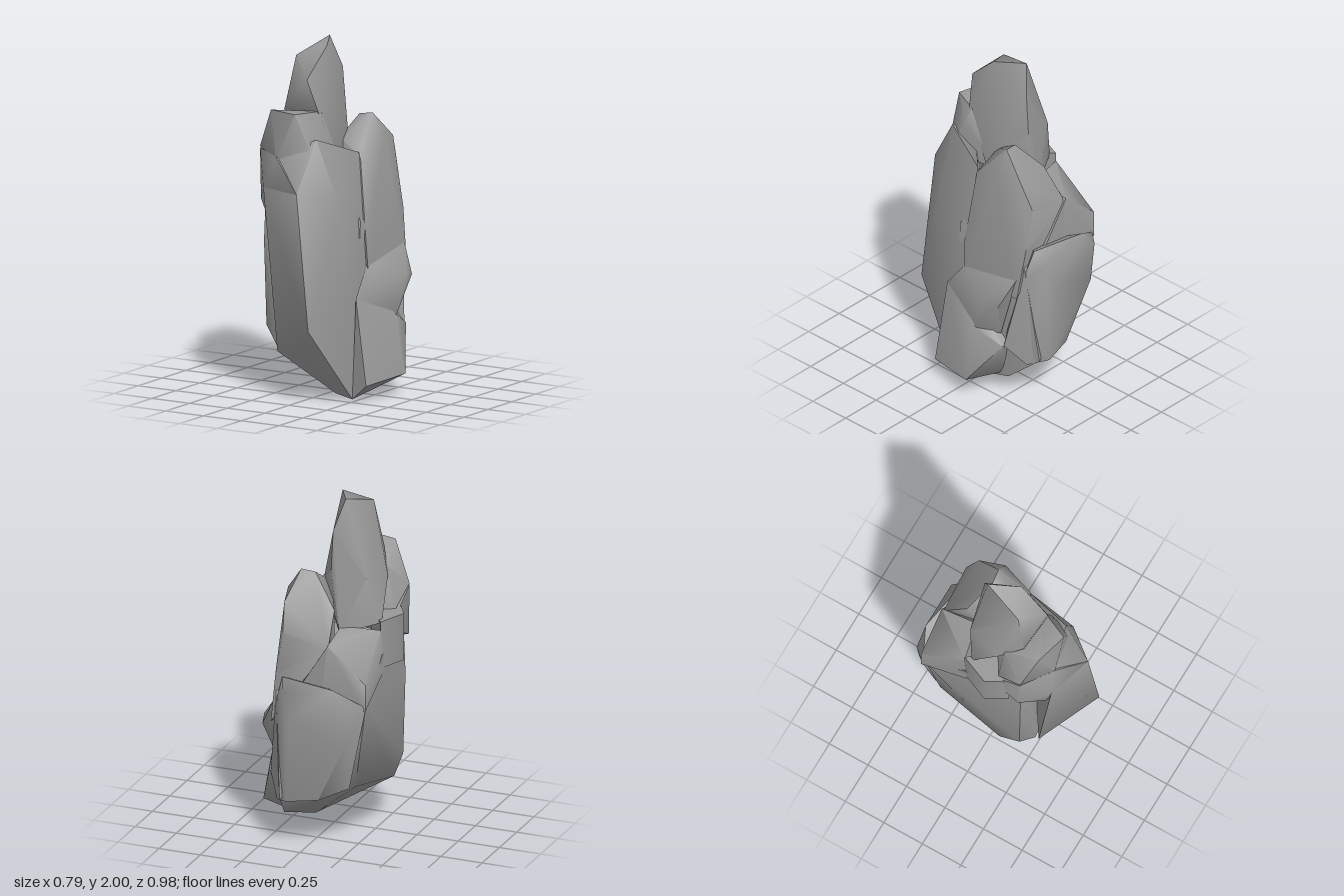
import * as THREE from 'three';
import { ConvexGeometry } from 'three/addons/geometries/ConvexGeometry.js';
import { toCreasedNormals } from 'three/addons/utils/BufferGeometryUtils.js';

// Corner points of each overlapping rock chunk
const chunks = {
  frontBlock: [
    [-0.21, 0.25, 0.29], [0, 0.28, 0.38], [0.12, 0.43, 0.49], [0.21, 0, 0.17], [0.12, 0.03, 0.2],
    [-0.22, 0.95, 0.36], [-0.24, 1.2, 0.39], [0.03, 1.2, 0.47], [0.08, 0.77, 0.46],
    [-0.17, 1.38, 0.36], [0.08, 1.32, 0.34], [0.06, 1.49, 0.31], [0.16, 1.38, 0.02],
    [0.19, 1.13, 0.28], [0.23, 0.6, 0.22], [0.22, 0.9, 0.06], [0.23, 0.6, 0],
  ],
  upperFront: [
    [-0.35, 1.39, 0.25], [-0.35, 1.1, 0.24], [-0.24, 1.05, 0.36], [-0.24, 1.2, 0.39],
    [-0.17, 1.38, 0.37], [0.03, 1.2, 0.47], [0, 1.38, 0.1], [-0.1, 1, 0.3], [-0.33, 1.2, 0],
  ],
  shoulderSlab: [
    [-0.24, 1.63, 0.31], [-0.05, 1.63, 0.36], [0.02, 1.63, 0.2], [0.06, 1.53, 0.22],
    [0.08, 1.32, 0.33], [-0.17, 1.36, 0.37], [-0.35, 1.4, 0.25], [-0.33, 1.3, 0.1],
    [-0.27, 1.55, 0.1], [0, 1.3, -0.1],
  ],
  spire: [
    [-0.11, 2, -0.1], [-0.02, 1.98, 0.07], [-0.18, 1.92, 0.14], [-0.04, 1.81, 0.25],
    [-0.055, 1.82, -0.15], [0.02, 1.62, 0.22], [-0.22, 1.62, 0.2], [-0.29, 1.5, 0.08],
    [-0.25, 1.55, -0.13], [0.04, 1.5, -0.05], [-0.05, 1.58, -0.17], [-0.11, 1.22, -0.19],
    [-0.32, 1.28, -0.08], [0.05, 1.3, 0.05],
  ],
  core: [
    [0.12, 0.03, 0.02], [0.21, 0, 0.17], [0.2, 0.12, -0.25], [0.15, 0.28, -0.44],
    [-0.26, 0.37, -0.32], [-0.32, 0.29, 0.1], [-0.32, 0.38, 0.23], [-0.21, 0.25, 0.27],
    [-0.33, 0.86, 0.24], [-0.34, 0.88, -0.36], [0.2, 0.9, -0.37], [0.22, 1, 0.1],
    [-0.32, 1.1, 0.24], [-0.34, 1.1, -0.12], [0.1, 1.2, 0], [0.23, 0.6, -0.3],
  ],
  backSlab: [
    [-0.28, 0.87, -0.46], [-0.18, 0.99, -0.46], [0.12, 0.93, -0.47], [0.07, 0.78, -0.49],
    [-0.35, 0.88, -0.38], [-0.24, 0.37, -0.36], [-0.25, 0.65, -0.46], [-0.08, 0.3, -0.43],
    [0.1, 0.28, -0.47], [0.21, 0.8, -0.36], [0.15, 1, -0.4], [0.27, 0.37, -0.28],
    [0.19, 0.25, -0.38], [0, 0.9, -0.2], [-0.1, 0.4, -0.2],
  ],
  backLeftShard: [
    [-0.12, 1.22, -0.39], [-0.35, 0.86, -0.39], [-0.35, 1.02, -0.39], [-0.11, 1.26, -0.17],
    [-0.33, 1.25, -0.12], [-0.34, 1, -0.1], [-0.08, 0.9, -0.39], [0.05, 0.95, -0.38], [0, 1, -0.1],
  ],
  backRightShard: [
    [0.05, 1.56, -0.16], [0.13, 1.57, -0.17], [0.21, 1.45, -0.17], [0.17, 1.42, -0.32],
    [0.15, 1.26, -0.39], [0.2, 1, -0.38], [-0.12, 1.2, -0.38], [-0.1, 1.38, -0.24],
    [0.17, 1.35, 0.02], [0.23, 0.9, 0.06], [0.02, 1.45, 0], [0.24, 0.7, 0.05],
    [0.24, 0.7, -0.35], [0, 0.8, 0],
  ],
  leftWedge: [
    [-0.4, 1.3, 0.05], [-0.4, 1.02, 0.05], [-0.33, 1.3, -0.12], [-0.33, 1.02, -0.12],
    [-0.33, 1.3, 0.17], [-0.33, 1.03, 0.17], [-0.2, 1.3, 0.05], [-0.2, 1.02, 0.05],
  ],
  rightWing: [
    [0.35, 0.67, -0.18], [0.32, 0.65, -0.28], [0.32, 0.42, -0.1], [0.23, 0.82, -0.34],
    [0.23, 0.75, 0.05], [0.24, 0.42, -0.23], [0.24, 0.58, 0.18], [0.15, 0.5, 0],
  ],
  rightFoot: [
    [0.32, 0.09, 0.2], [0.21, 0, 0.17], [0.39, 0.12, -0.1], [0.28, 0.37, -0.28],
    [0.33, 0.45, -0.1], [0.24, 0.58, 0.18], [0.24, 0.6, 0], [0.18, 0.12, -0.2],
    [0.15, 0.35, -0.25],
  ],
};

export function createModel() {
  const group = new THREE.Group();
  group.name = 'rock';
  const stone = new THREE.MeshStandardMaterial({ color: 0x999999 });
  stone.name = 'grey stone';

  for (const [name, points] of Object.entries(chunks)) {
    const hull = new ConvexGeometry(points.map((p) => new THREE.Vector3(...p)));
    // Soft facets, sharp main edges
    const mesh = new THREE.Mesh(toCreasedNormals(hull, 1.05), stone);
    mesh.name = name;
    group.add(mesh);
  }
  return group;
}
